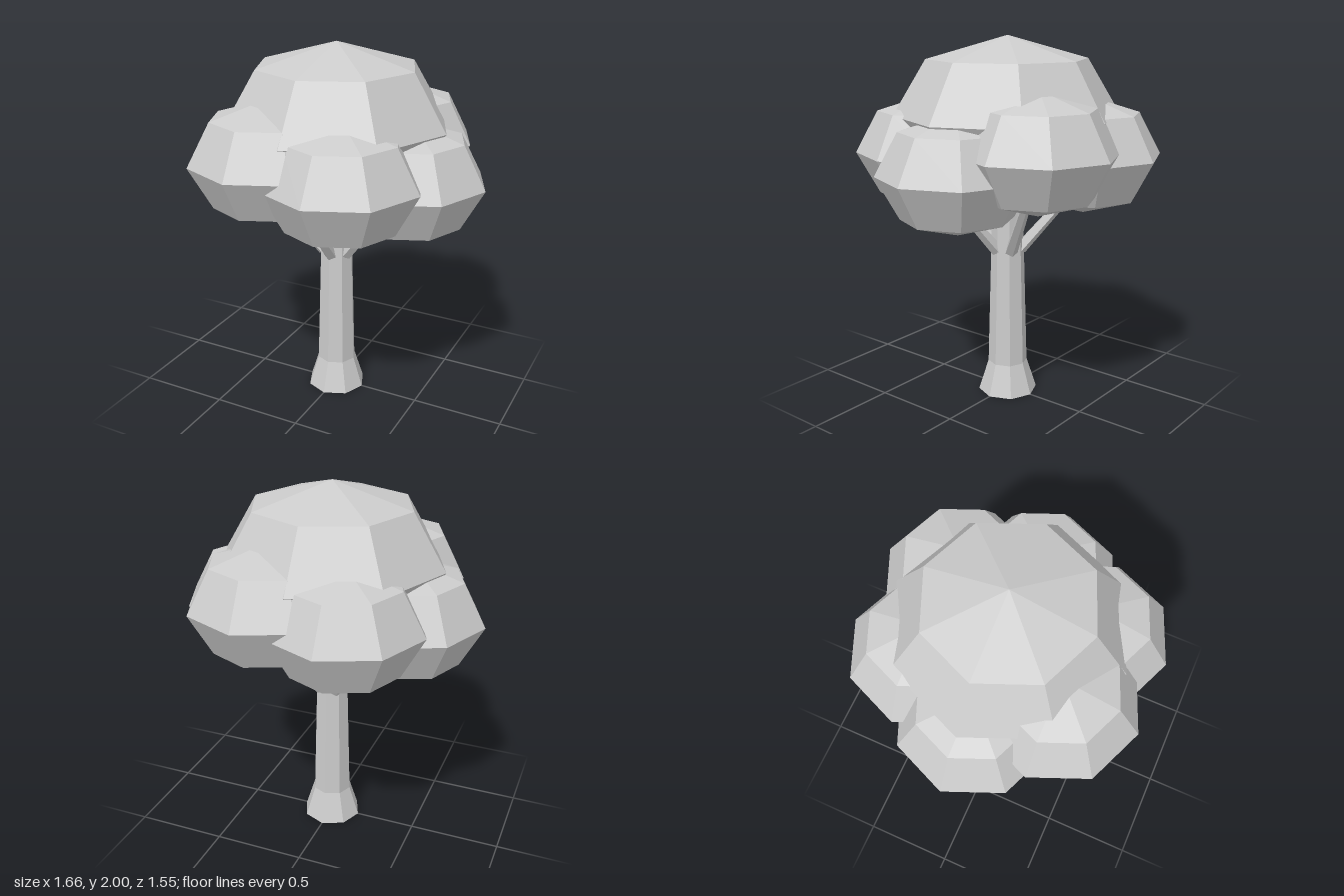
import * as THREE from 'three';

const material = new THREE.MeshStandardMaterial({ color: 0xcccccc, flatShading: true });
const openMaterial = material.clone();
openMaterial.side = THREE.DoubleSide;

function addMesh(parent, name, geometry, mat = material) {
  const mesh = new THREE.Mesh(geometry, mat);
  mesh.name = name;
  parent.add(mesh);
  return mesh;
}

// Flattened eight-sided clump of leaves
function addFoliage(parent, name, radius, halfHeight, x, y, z) {
  const clump = addMesh(parent, name, new THREE.SphereGeometry(1, 8, 4));
  clump.scale.set(radius, halfHeight, radius);
  clump.position.set(x, y, z);
}

// Tapered branch between two points
function addBranch(parent, name, from, to) {
  const direction = to.clone().sub(from);
  const branch = addMesh(parent, name, new THREE.CylinderGeometry(0.025, 0.036, direction.length(), 5));
  branch.position.copy(from).add(to).multiplyScalar(0.5);
  branch.quaternion.setFromUnitVectors(new THREE.Vector3(0, 1, 0), direction.normalize());
}

export function createModel() {
  const tree = new THREE.Group();
  tree.name = 'tree';

  // Octagonal trunk with a flared foot, open underneath
  const profile = [[0.165, 0], [0.11, 0.175], [0.08, 1.25]].map(([r, y]) => new THREE.Vector2(r, y));
  addMesh(tree, 'trunk', new THREE.LatheGeometry(profile, 8), openMaterial);

  // Five branches fanning out under the canopy
  const branches = new THREE.Group();
  branches.name = 'branches';
  tree.add(branches);
  for (let i = 0; i < 5; i++) {
    const a = Math.PI / 2 + (i * Math.PI * 2) / 5;
    const at = (r, y) => new THREE.Vector3(r * Math.cos(a), y, r * Math.sin(a));
    addBranch(branches, `branch${i + 1}`, at(0.07, 0.84), at(0.36, 1.18));
  }

  // Large crown with six smaller clumps around it at three alternating heights
  const canopy = new THREE.Group();
  canopy.name = 'canopy';
  tree.add(canopy);
  addFoliage(canopy, 'crown', 0.61, 0.415, 0, 1.585, 0);
  for (let i = 0; i < 6; i++) {
    const a = (i * Math.PI) / 3;
    const y = 1.32 + 0.058 * (i % 3);
    addFoliage(canopy, `foliage${i + 1}`, 0.415, 0.316, 0.413 * Math.cos(a), y, 0.413 * Math.sin(a));
  }

  return tree;
}
